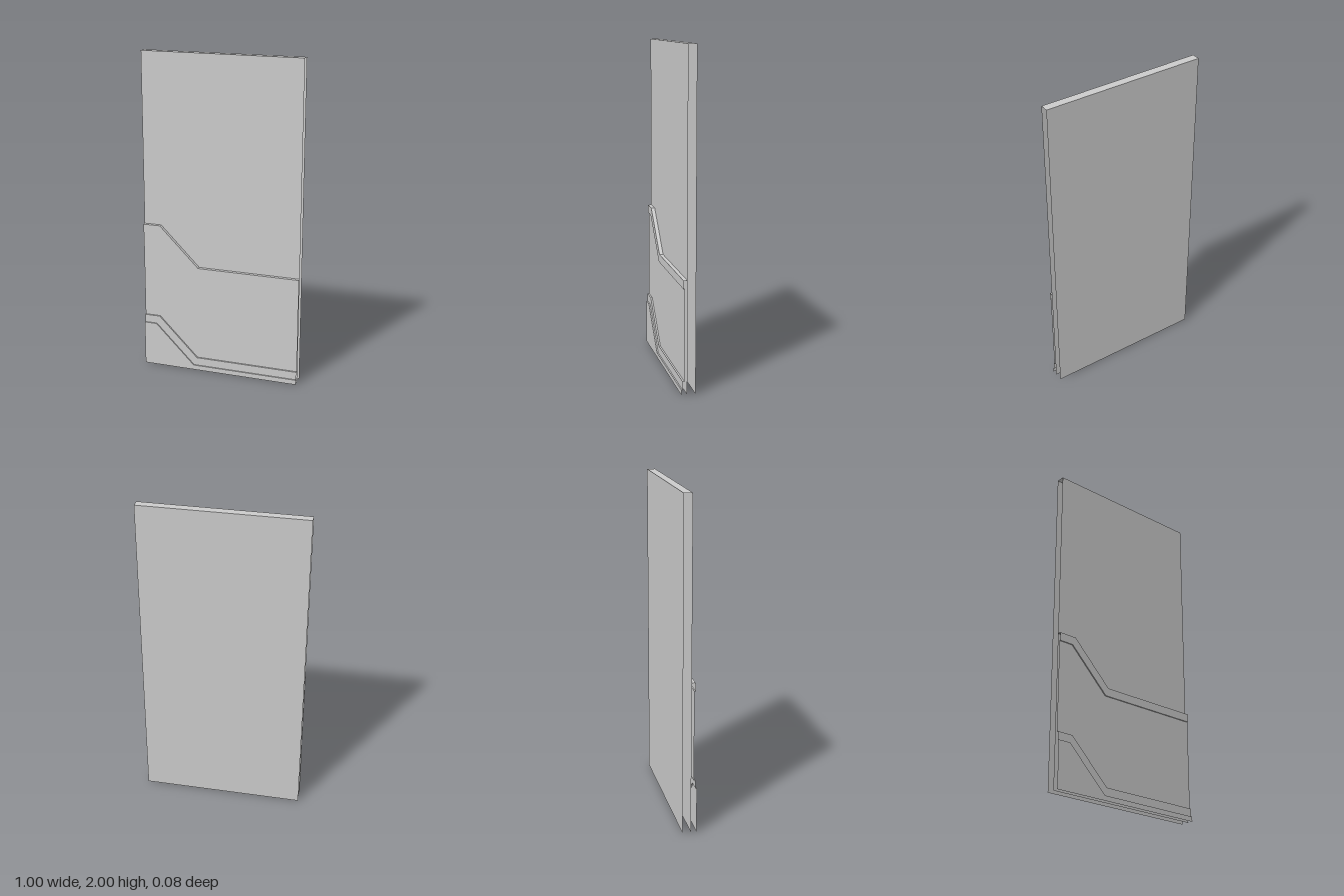
import * as THREE from 'three';

const BACK = -0.042, WALL = 0.008, PANEL = 0.024, RAIL = 0.031, LOW_RAIL = 0.034, BASE = 0.042;
const W = 0.5, H = 2, STEP = 0.25;

const material = new THREE.MeshStandardMaterial({ color: 0xcccccc, flatShading: true, side: THREE.DoubleSide });

// Stepped line across the wall: high on the right-hand side, sloping down to y
function stepped(y, x, z) {
  return [[-W, y + STEP, z], [x, y + STEP, z], [x + STEP, y, z], [W, y, z]];
}

// Straight line with as many points as a stepped one
function level(y, x, z) {
  return [[-W, y, z], [x, y, z], [x + STEP, y, z], [W, y, z]];
}

// Open surface through a list of lines, each running from -x to +x
function loft(name, ...lines) {
  const pos = [];
  for (let k = 0; k < lines.length - 1; k++) {
    const a = lines[k], b = lines[k + 1];
    for (let i = 0; i < a.length - 1; i++) {
      pos.push(...a[i], ...a[i + 1], ...b[i + 1], ...a[i], ...b[i + 1], ...b[i]);
    }
  }
  const geometry = new THREE.BufferGeometry();
  geometry.setAttribute('position', new THREE.Float32BufferAttribute(pos, 3));
  geometry.computeVertexNormals();
  const mesh = new THREE.Mesh(geometry, material);
  mesh.name = name;
  return mesh;
}

const across = (y, z) => [[-W, y, z], [W, y, z]];

export function createModel() {
  const group = new THREE.Group();
  group.name = 'wallSection';

  // Wall: front sheet, top and back sheet, open at the ends and bottom
  group.add(loft('wallFront', across(0, WALL), across(H, WALL)));
  group.add(loft('wallTop', across(H, WALL), across(H, BACK)));
  group.add(loft('wallBack', across(H, BACK), across(0, BACK)));

  // Break positions of the rail edges
  const topX = -0.39, topLowX = -0.41, lowX = -0.4, lowLowX = -0.42;

  // Baseboard with a small ledge under the lower rail
  group.add(loft('baseboard',
    level(0, lowLowX, BASE), stepped(0.03, lowLowX, BASE), stepped(0.03, lowLowX, LOW_RAIL)));

  // Lower rail: face and ledge
  group.add(loft('lowerRail',
    stepped(0.03, lowLowX, LOW_RAIL), stepped(0.08, lowX, LOW_RAIL), stepped(0.08, lowX, PANEL)));

  // Panel between the rails
  group.add(loft('wainscotPanel',
    stepped(0.08, lowX, PANEL), stepped(0.63, topLowX, PANEL)));

  // Upper rail: underside, face and ledge back to the wall
  group.add(loft('upperRail',
    stepped(0.63, topLowX, PANEL), stepped(0.63, topLowX, RAIL),
    stepped(0.68, topX, RAIL), stepped(0.68, topX, WALL)));

  return group;
}
